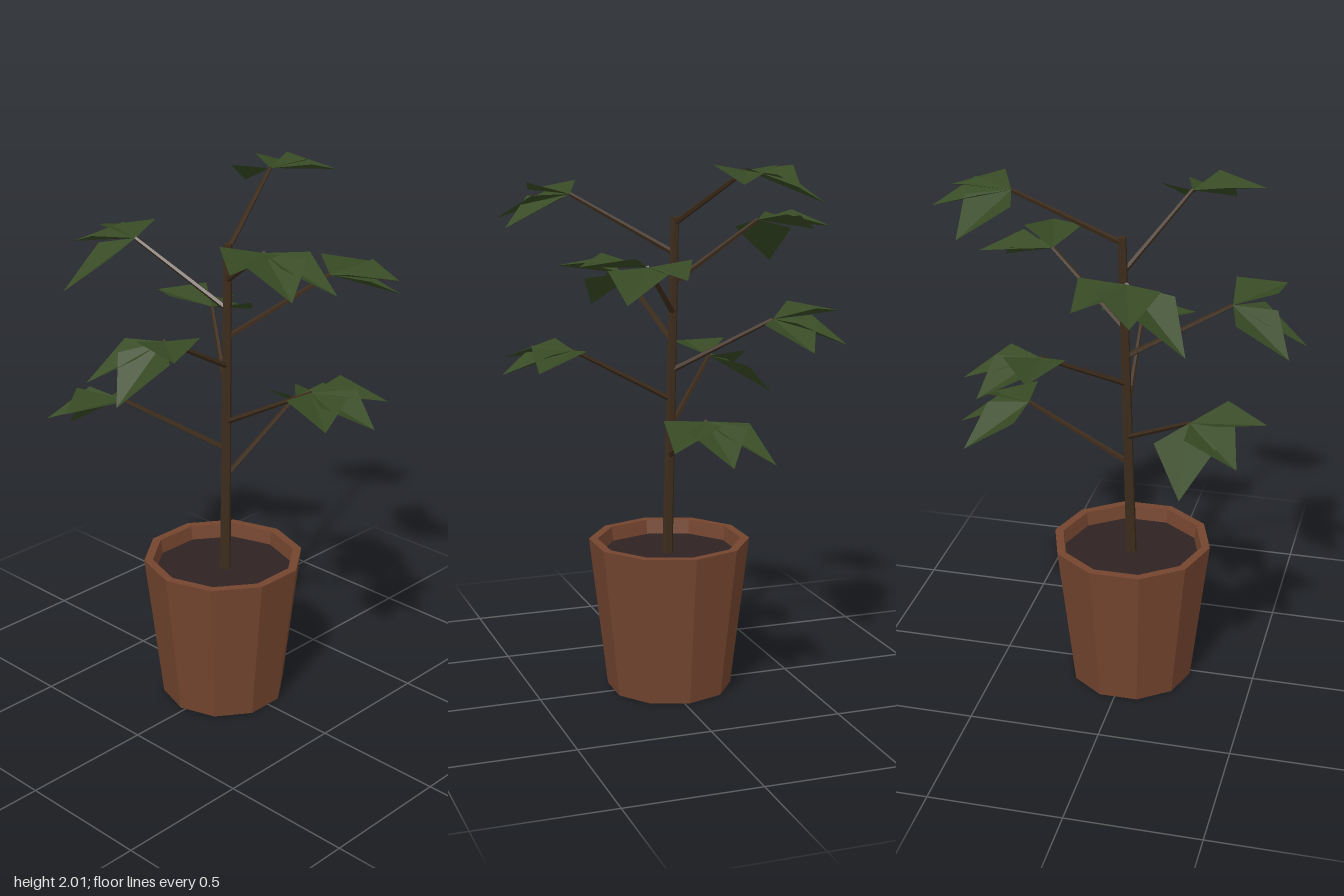
import * as THREE from 'three';

const mat = (name, color, side = THREE.FrontSide) => {
  const m = new THREE.MeshStandardMaterial({ color, side, flatShading: true });
  m.name = name;
  return m;
};

// split faces so every facet has its own normal
function facet(geometry) {
  const g = geometry.index ? geometry.toNonIndexed() : geometry;
  g.computeVertexNormals();
  return g;
}

function part(name, geometry, material) {
  const mesh = new THREE.Mesh(facet(geometry), material);
  mesh.name = name;
  return mesh;
}

// tapered stick between two points
function stick(name, a, b, r0, r1, sides, material) {
  const dir = b.clone().sub(a);
  const mesh = part(name, new THREE.CylinderGeometry(r1, r0, dir.length(), sides), material);
  mesh.position.copy(a).add(b).multiplyScalar(0.5);
  mesh.quaternion.setFromUnitVectors(new THREE.Vector3(0, 1, 0), dir.normalize());
  return mesh;
}

// kite-shaped leaf folded along its midrib, drooping by `drop` at the tip
function leafGeometry(base, angle, drop) {
  const reach = 0.275, half = 0.11, mid = 0.43, lift = 0.04;
  const f = new THREE.Vector3(Math.cos(angle), 0, -Math.sin(angle));
  const r = new THREE.Vector3(-f.z, 0, f.x);
  const at = (along, side, up) =>
    base.clone().addScaledVector(f, along).addScaledVector(r, side).add(new THREE.Vector3(0, up, 0));
  const tip = at(reach, 0, drop);
  const right = at(reach * mid, half, drop * mid + lift);
  const left = at(reach * mid, -half, drop * mid + lift);
  return new THREE.BufferGeometry().setFromPoints([base, right, tip, base, tip, left]);
}

export function createModel() {
  const group = new THREE.Group();
  group.name = 'pottedPlant';
  const clay = mat('terracotta', 0x74452f, THREE.DoubleSide);
  const earth = mat('soil', 0x2e2222);
  const bark = mat('bark', 0x3d2c1b);
  const green = mat('leafGreen', 0x374a24, THREE.DoubleSide);

  // ten-sided pot, open underneath, with a lip turned inward
  const profile = [[0.237, 0], [0.305, 0.58], [0.272, 0.58], [0.262, 0.51]]
    .map(([x, y]) => new THREE.Vector2(x, y));
  const pot = part('pot', new THREE.LatheGeometry(profile, 10), clay);
  pot.rotation.y = Math.PI / 2;
  pot.position.set(-0.015, 0, -0.02);
  group.add(pot);

  const soil = part('soil', new THREE.CircleGeometry(0.268, 10), earth);
  soil.rotation.x = -Math.PI / 2;
  soil.position.set(-0.015, 0.525, -0.02);
  group.add(soil);

  // slightly leaning trunk
  const foot = new THREE.Vector3(-0.012, 0.5, -0.012);
  const top = new THREE.Vector3(0.02, 1.8, -0.03);
  group.add(stick('trunk', foot, top, 0.021, 0.016, 6, bark));

  // leaf tip heights on each branch: left, middle, right
  const drops = [
    [-0.13, -0.11, -0.06], [0.02, -0.07, -0.165], [-0.04, -0.07, -0.04],
    [0.015, -0.08, -0.085], [0.02, -0.155, -0.13], [-0.015, -0.095, 0.02],
    [-0.185, -0.05, -0.02], [-0.11, -0.09, 0], [-0.11, -0.045, -0.03],
  ];

  // branches spiral up the trunk by the golden angle
  drops.forEach((tips, i) => {
    const angle = THREE.MathUtils.degToRad(137.5 * i);
    const y = 0.905 + 0.109 * i;
    const start = foot.clone().lerp(top, (y - foot.y) / (top.y - foot.y));
    const end = start.clone().add(
      new THREE.Vector3(0.385 * Math.cos(angle), 0.21, -0.385 * Math.sin(angle)));
    const branch = new THREE.Group();
    branch.name = 'branch' + (i + 1);
    branch.add(stick('twig', start, end, 0.011, 0.008, 5, bark));
    tips.forEach((drop, k) => {
      const leafAngle = angle + (1 - k) * THREE.MathUtils.degToRad(43);
      branch.add(part('leaf', leafGeometry(end, leafAngle, drop), green));
    });
    group.add(branch);
  });

  return group;
}
